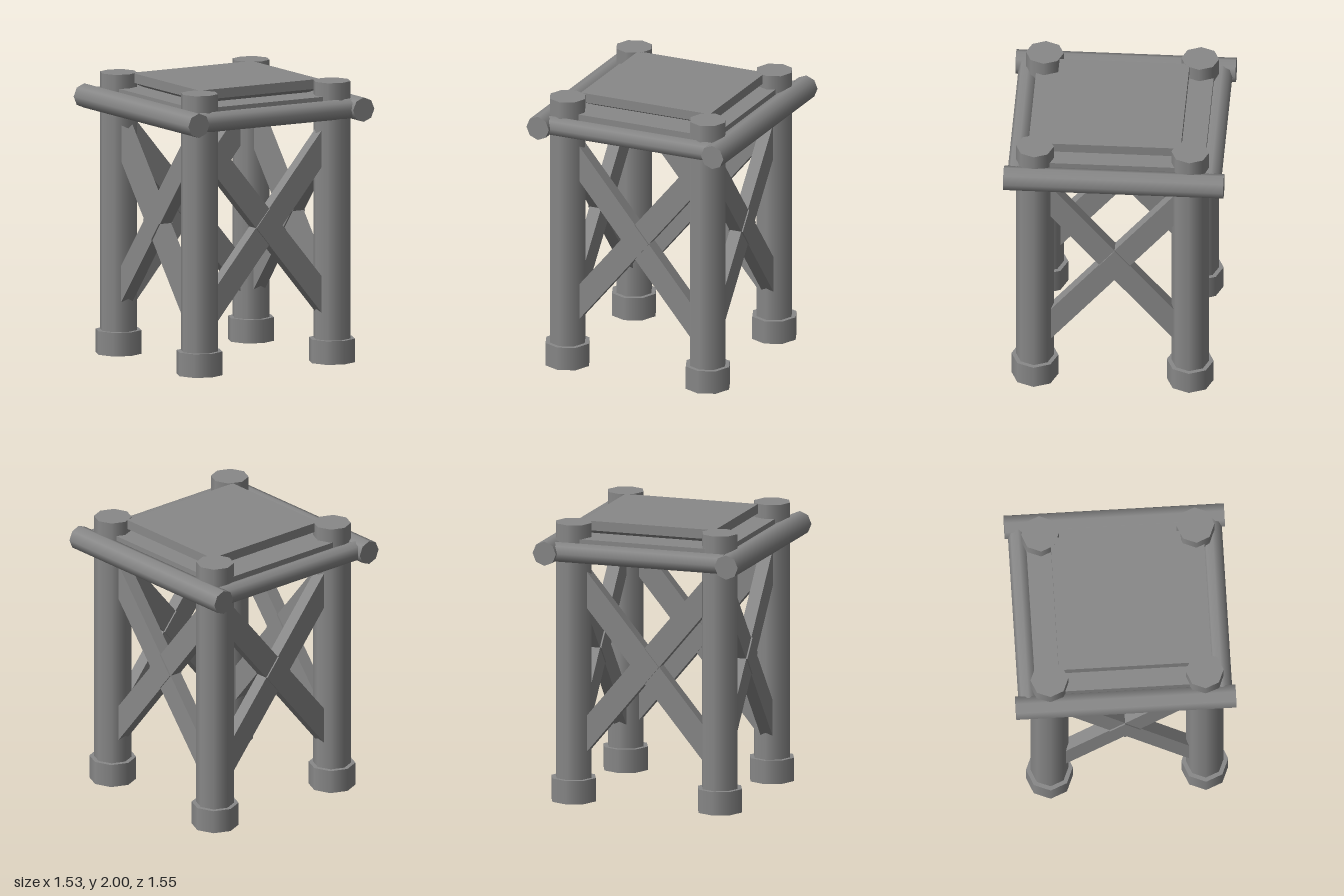
import * as THREE from 'three';

export function createModel() {
  const model = new THREE.Group();
  const roundMat = new THREE.MeshStandardMaterial({ color: 0x888888 });
  const boardMat = new THREE.MeshStandardMaterial({ color: 0x888888, flatShading: true });

  function add(name, geometry, material, x, y, z) {
    const mesh = new THREE.Mesh(geometry, material);
    mesh.name = name;
    mesh.position.set(x, y, z);
    model.add(mesh);
  }

  const postX = 0.545, postZ = 0.547, midZ = 0.017;
  const log = (r, length) => new THREE.CylinderGeometry(r, r, length, 8);

  // Four octagonal posts on wider feet
  for (const sx of [-1, 1]) {
    for (const sz of [-1, 1]) {
      const z = midZ + sz * postZ;
      add('post', log(0.133, 1.98), roundMat, sx * postX, 1.01, z);
      add('foot', log(0.165, 0.168), roundMat, sx * postX, 0.084, z);
    }
  }

  // Rim logs: long side logs, thinner front and back logs between them
  for (const s of [-1, 1]) {
    add('sideLog', log(0.087, 1.55).rotateX(Math.PI / 2), roundMat, s * 0.678, 1.81, 0);
    add('crossLog', log(0.071, 1.26).rotateZ(Math.PI / 2), roundMat, 0, 1.81, s * 0.682);
  }

  // Lower deck inside the rim
  add('lowerDeck', new THREE.BoxGeometry(1.21, 0.13, 1.25), boardMat, 0, 1.835, -0.005);

  // Raised top board between the posts, with a chamfer under its edge
  const chamfer = new THREE.BoxGeometry(0.99, 0.03, 0.915);
  const c = chamfer.attributes.position;
  for (let i = 0; i < c.count; i++) {
    if (c.getY(i) < 0) c.setXYZ(i, c.getX(i) * 0.88, c.getY(i), c.getZ(i) * 0.87);
  }
  add('topBoard', new THREE.BoxGeometry(0.99, 0.068, 0.915), boardMat, 0.015, 1.965, -0.002);
  add('topBoardChamfer', chamfer, boardMat, 0.015, 1.916, -0.002);

  // Diagonal brace with vertically cut ends, sheared from one box
  const slope = 1.2, braceHeight = 0.26;
  function braceGeometry(dir, length, thickness) {
    const g = new THREE.BoxGeometry(length, braceHeight, thickness);
    const p = g.attributes.position;
    for (let i = 0; i < p.count; i++) p.setY(i, p.getY(i) + dir * slope * p.getX(i));
    return g;
  }

  // Diamond lap block where two braces cross
  const lapGeometry = () => new THREE.CylinderGeometry(1, 1, 0.112, 4)
    .rotateX(Math.PI / 2)
    .scale(braceHeight / 2 / slope, braceHeight / 2, 1);

  // Crossed braces on all four sides
  for (const s of [-1, 1]) {
    const z = midZ + s * postZ;
    for (const dir of [-1, 1]) {
      const thickness = dir > 0 ? 0.09 : 0.094;
      add('frontBackBrace', braceGeometry(dir, 0.86, thickness), boardMat, 0, 1.01, z);
      add('sideBrace', braceGeometry(dir, 0.9, thickness).rotateY(Math.PI / 2), boardMat, s * postX, 1.01, 0);
    }
    add('frontBackLap', lapGeometry(), boardMat, 0, 1.01, z);
    add('sideLap', lapGeometry().rotateY(Math.PI / 2), boardMat, s * postX, 1.01, 0);
  }
  return model;
}
